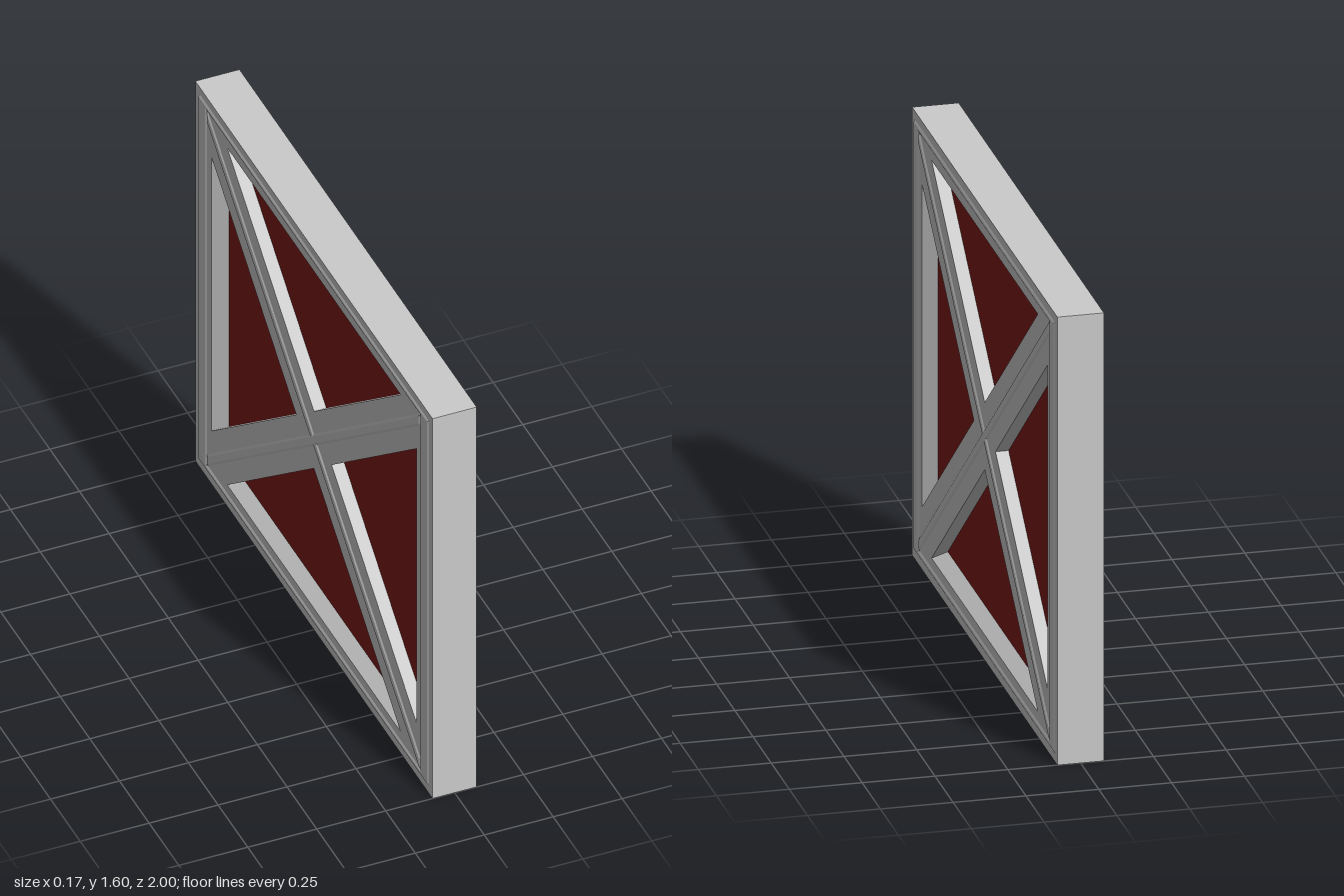
import * as THREE from 'three';

const HALF = 0.08;    // half thickness of the frame
const RISE = 0.004;   // height of the raised mouldings
const BEVEL = 0.008;  // width of the moulding edges
const SLOPE = 0.807;  // rise of the diagonals

// Closed profile of [half width, half height, depth] points carried round a rectangle.
function rectangularSweep(profile) {
  const corners = [[1, 1], [-1, 1], [-1, -1], [1, -1]];
  const at = (c, [w, h, x]) => [x, corners[c % 4][1] * h, corners[c % 4][0] * w];
  const positions = [];
  for (let c = 0; c < 4; c++) {
    profile.forEach((p, j) => {
      const q = profile[(j + 1) % profile.length];
      const a = at(c, p), b = at(c + 1, p), d = at(c, q), e = at(c + 1, q);
      positions.push(...a, ...d, ...e, ...a, ...e, ...b);
    });
  }
  const geometry = new THREE.BufferGeometry();
  geometry.setAttribute('position', new THREE.Float32BufferAttribute(positions, 3));
  geometry.computeVertexNormals();
  return geometry;
}

// Diagonal cross clipped to a rectangle; c is half the arm's vertical width.
function crossGeometry(w, h, c, options) {
  const z = (h - c) / SLOPE, y = SLOPE * w - c, notch = c / SLOPE;
  const points = [
    [notch, 0], [w, y], [w, h], [z, h],
    [0, c], [-z, h], [-w, h], [-w, y],
    [-notch, 0], [-w, -y], [-w, -h], [-z, -h],
    [0, -c], [z, -h], [w, -h], [w, -y],
  ].map(([px, py]) => new THREE.Vector2(px, py));
  const geometry = new THREE.ExtrudeGeometry(new THREE.Shape(points), { depth: 2 * HALF, ...options });
  return geometry.translate(0, 0, -HALF).rotateY(Math.PI / 2);
}

export function createModel() {
  const model = new THREE.Group();
  model.name = 'bracedPanel';
  const grey = new THREE.MeshStandardMaterial({ color: 0xcccccc });
  const red = new THREE.MeshStandardMaterial({ color: 0x801c1c });

  const add = (name, geometry, material = grey) => {
    const mesh = new THREE.Mesh(geometry, material);
    mesh.name = name;
    mesh.position.y = 0.8;
    model.add(mesh);
  };

  // Outer frame with sloped reveals down to the panel
  add('frame', rectangularSweep([
    [1, 0.8, -HALF], [1, 0.8, HALF],
    [0.865, 0.71, HALF], [0.82, 0.675, 0.035],
    [0.82, 0.675, -0.035], [0.865, 0.71, -HALF],
  ]));

  // Raised band on both faces of the frame
  const top = HALF + RISE;
  add('frameMoulding', rectangularSweep([
    [0.97, 0.77, -HALF], [0.97, 0.77, HALF],
    [0.97 - BEVEL, 0.77 - BEVEL, top], [0.9 + BEVEL, 0.745 + BEVEL, top],
    [0.9, 0.745, HALF], [0.9, 0.745, -HALF],
    [0.9 + BEVEL, 0.745 + BEVEL, -top], [0.97 - BEVEL, 0.77 - BEVEL, -top],
  ]));

  // Diagonal braces filling the frame opening
  add('crossBrace', crossGeometry(0.865, 0.71, 0.12, { bevelEnabled: false }));

  // Raised rib along the middle of each brace
  add('braceMoulding', crossGeometry(0.9, 0.745, 0.025, {
    bevelThickness: RISE, bevelSize: BEVEL, bevelOffset: -BEVEL, bevelSegments: 1,
  }));

  // Recessed coloured panel
  add('panel', new THREE.BoxGeometry(0.07, 1.35, 1.64), red);

  return model;
}
